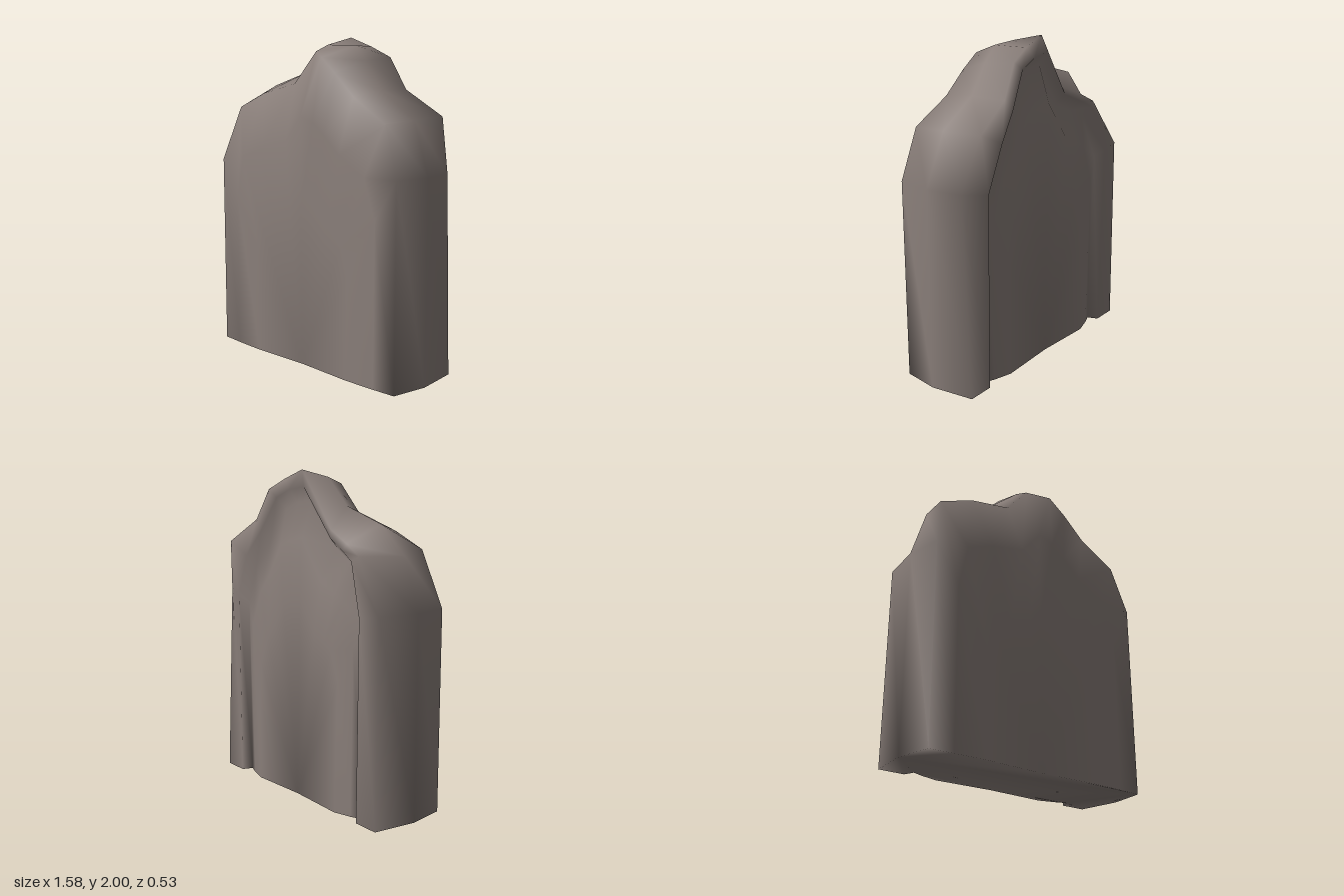
import * as THREE from 'three';
import { mergeVertices } from 'three/addons/utils/BufferGeometryUtils.js';

// Arched cross-sections, each running from the base at -x over the crown to the base at +x.
const FRONT = [
  [-0.755, 0, 0.245], [-0.755, 1.22, 0.245], [-0.68, 1.56, 0.15], [-0.45, 1.65, 0.16],
  [-0.17, 1.72, 0.14], [0, 1.915, 0.12], [0.13, 1.88, 0.205], [0.25, 1.79, 0.21],
  [0.4, 1.66, 0.21], [0.65, 1.52, 0.22], [0.755, 1.22, 0.245], [0.755, 0, 0.245],
];
const MIDDLE = [
  [-0.792, 0, 0.02], [-0.792, 1.22, 0.02], [-0.69, 1.53, 0.01], [-0.52, 1.7, -0.02],
  [-0.2, 1.79, 0], [0, 1.955, 0.02], [0.21, 1.95, 0], [0.3, 1.86, 0],
  [0.42, 1.69, 0], [0.67, 1.53, 0], [0.792, 1.22, 0.02], [0.792, 0, 0.02],
];
const BACK = [
  [-0.755, 0, -0.25], [-0.755, 1.22, -0.24], [-0.54, 1.53, -0.2], [-0.42, 1.59, -0.185],
  [-0.24, 1.66, -0.155], [0, 2, -0.18], [0.16, 1.945, -0.19], [0.3, 1.88, -0.21],
  [0.41, 1.69, -0.23], [0.66, 1.54, -0.265], [0.755, 1.22, -0.2], [0.755, 0, -0.25],
];
const LIP = [
  [-0.59, 0, -0.25], [-0.61, 1.2, -0.255], [-0.5, 1.5, -0.22], [-0.4, 1.55, -0.2],
  [-0.26, 1.61, -0.175], [-0.04, 1.9, -0.2], [0.1, 1.88, -0.205], [0.22, 1.83, -0.21],
  [0.35, 1.62, -0.24], [0.48, 1.46, -0.265], [0.59, 1.19, -0.255], [0.59, 0, -0.25],
];

// Shrinks a section towards the middle of the base and sets its depth.
const shrink = (ring, k, depth) => ring.map(([x, y, z]) => [x * k, y * k, depth(y * k, z)]);

function createSlab() {
  const rings = [
    shrink(FRONT, 0, () => 0.247), // front face
    shrink(FRONT, 0.52, (y) => 0.264 - 0.012 * y),
    shrink(FRONT, 0.8, (y) => 0.256 - 0.004 * y),
    FRONT,
    MIDDLE,
    BACK,
    LIP, // raised rim round the back
    shrink(LIP, 0.96, (y, z) => z + 0.065), // recess
    shrink(LIP, 0.84, () => -0.213),
    shrink(LIP, 0.65, (y) => -0.245 + 0.02 * y),
    shrink(LIP, 0, () => -0.227),
  ];
  const n = FRONT.length;
  const last = rings.length - 1;
  const index = [];
  for (let r = 0; r < last; r++) {
    for (let i = 0; i < n - 1; i++) {
      const a = r * n + i, b = a + 1, d = a + n, c = d + 1;
      if (r > 0) index.push(a, b, c);
      if (r < last - 1) index.push(a, c, d);
    }
  }

  // Underside, filled between the feet of all sections
  const feet = rings.map((_, r) => r * n);
  for (let r = last - 1; r > 0; r--) feet.push(r * n + n - 1);
  const points = rings.flat();
  const contour = feet.map((f) => new THREE.Vector2(points[f][0], points[f][2]));
  for (const [a, b, c] of THREE.ShapeUtils.triangulateShape(contour, [])) {
    const turn = contour[b].clone().sub(contour[a]).cross(contour[c].clone().sub(contour[a]));
    if (turn > 0) index.push(feet[a], feet[b], feet[c]);
    else index.push(feet[a], feet[c], feet[b]);
  }

  const geometry = new THREE.BufferGeometry();
  geometry.setAttribute('position', new THREE.Float32BufferAttribute(points.flat(), 3));
  geometry.setIndex(index);
  const smooth = mergeVertices(geometry, 1e-4);
  smooth.computeVertexNormals();
  return smooth;
}

export function createModel() {
  const model = new THREE.Group();
  model.name = 'stoneSlab';
  const stone = new THREE.MeshStandardMaterial({ color: 0x8a7f7a });
  stone.name = 'warmGreyStone';
  const slab = new THREE.Mesh(createSlab(), stone);
  slab.name = 'slab';
  model.add(slab);
  return model;
}
